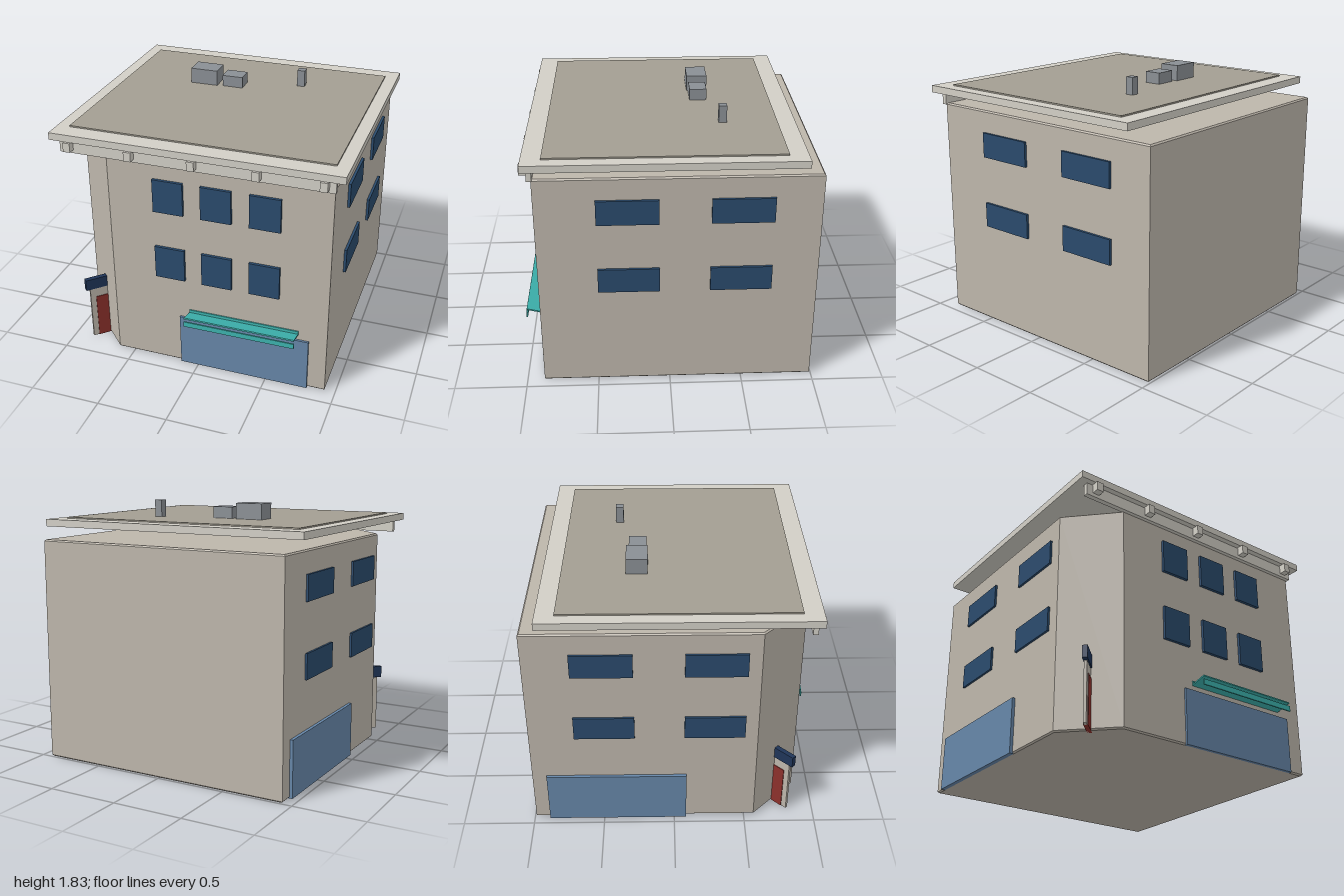
import * as THREE from 'three';

const material = (color) => new THREE.MeshStandardMaterial({ color });
const wall = material(0xbdb6ab);
const trim = material(0xd2cfc6);
const roofing = material(0xa39e92);
const metal = material(0x8a8f94);
const glass = material(0x2a4a6c);
const shopfront = material(0x6686a8);
const teal = material(0x3db3ae);
const red = material(0x8b302b);
const navy = material(0x1f3558);

// Box given by its extents along each axis
function box(parent, name, mat, [x0, x1], [y0, y1], [z0, z1]) {
  const mesh = new THREE.Mesh(new THREE.BoxGeometry(x1 - x0, y1 - y0, z1 - z0), mat);
  mesh.position.set((x0 + x1) / 2, (y0 + y1) / 2, (z0 + z1) / 2);
  mesh.name = name;
  parent.add(mesh);
  return mesh;
}

function group(parent, name) {
  const g = new THREE.Group();
  g.name = name;
  parent.add(g);
  return g;
}

export function createModel() {
  const model = new THREE.Group();
  model.name = 'cornerBuilding';

  // Main block with one cut corner and finely bevelled edges
  const plan = [[-0.62, 0.88], [0.925, 0.88], [0.925, -0.99], [-0.93, -0.99], [-0.93, 0.57]];
  const shape = new THREE.Shape(plan.map(([x, z]) => new THREE.Vector2(x, -z)));
  const bevel = 0.01;
  const bodyGeometry = new THREE.ExtrudeGeometry(shape, {
    depth: 1.57 - 2 * bevel, bevelThickness: bevel, bevelSize: bevel, bevelOffset: -bevel, bevelSegments: 1,
  });
  bodyGeometry.rotateX(-Math.PI / 2).translate(0, bevel, 0);
  const body = new THREE.Mesh(bodyGeometry, wall);
  body.name = 'walls';
  model.add(body);

  // Overhanging roof slab, raised above the walls
  const roof = group(model, 'roof');
  box(roof, 'roofSlab', trim, [-1, 1], [1.65, 1.7], [-0.875, 0.94]);
  box(roof, 'roofDeck', roofing, [-0.91, 0.91], [1.7, 1.71], [-0.75, 0.81]);
  box(roof, 'largeVentUnit', metal, [-0.42, -0.22], [1.71, 1.82], [-0.315, -0.17]);
  box(roof, 'smallVentUnit', metal, [-0.18, -0.03], [1.71, 1.79], [-0.3, -0.18]);
  box(roof, 'chimney', metal, [0.335, 0.39], [1.71, 1.83], [-0.405, -0.35]);

  // Front cornice and its brackets
  const cornice = group(model, 'cornice');
  box(cornice, 'corniceBoard', trim, [-0.94, 0.935], [1.56, 1.645], [0.872, 0.907]);
  for (let i = -2; i <= 2; i++) {
    const x = i * 0.4335;
    box(cornice, 'bracket', trim, [x - 0.025, x + 0.025], [1.585, 1.65], [0.872, 0.957]);
  }

  // Two rows of windows on the front and both sides
  const windows = group(model, 'windows');
  for (const floor of [0, 0.51]) {
    for (const x of [-0.295, 0.04, 0.375]) {
      box(windows, 'frontWindow', glass, [x, x + 0.213], [0.7 + floor, 0.94 + floor], [0.87, 0.9]);
    }
    for (const z of [-0.68, 0.07]) {
      const y = [0.73 + floor, 0.905 + floor];
      box(windows, 'leftWindow', glass, [0.915, 0.943], y, [z, z + 0.412]);
      box(windows, 'rightWindow', glass, [-0.945, -0.92], y, [z, z + 0.412]);
    }
  }

  // Ground floor shop panels
  box(model, 'frontShopPanel', shopfront, [-0.13, 0.8], [0, 0.39], [0.87, 0.895]);
  box(model, 'sideShopPanel', shopfront, [-0.952, -0.92], [0, 0.39], [-0.89, 0.085]);

  // Awning: tilted sheet with a hanging front strip and a wall rail
  const awning = group(model, 'awning');
  const sheet = box(awning, 'awningSheet', teal, [-0.06, 0.725], [0.441, 0.451], [0.875, 0.998]);
  sheet.rotation.x = -Math.atan2(0.03, 0.12);
  box(awning, 'awningStrip', teal, [-0.06, 0.725], [0.397, 0.435], [0.99, 1]);
  box(awning, 'awningRail', teal, [-0.06, 0.725], [0.43, 0.46], [0.87, 0.888]);

  // Entrance standing out from the cut corner; local +x points outwards
  const entrance = group(model, 'cornerEntrance');
  entrance.position.set(-0.775, 0, 0.725);
  entrance.rotation.y = -Math.PI * 0.75;
  box(entrance, 'doorFrame', wall, [-0.05, 0.13], [0, 0.41], [-0.01, 0.01]);
  box(entrance, 'door', red, [-0.05, 0.09], [0, 0.34], [-0.015, 0.015]);
  box(entrance, 'doorSign', navy, [-0.05, 0.16], [0.415, 0.5], [-0.0175, 0.0175]);

  return model;
}
